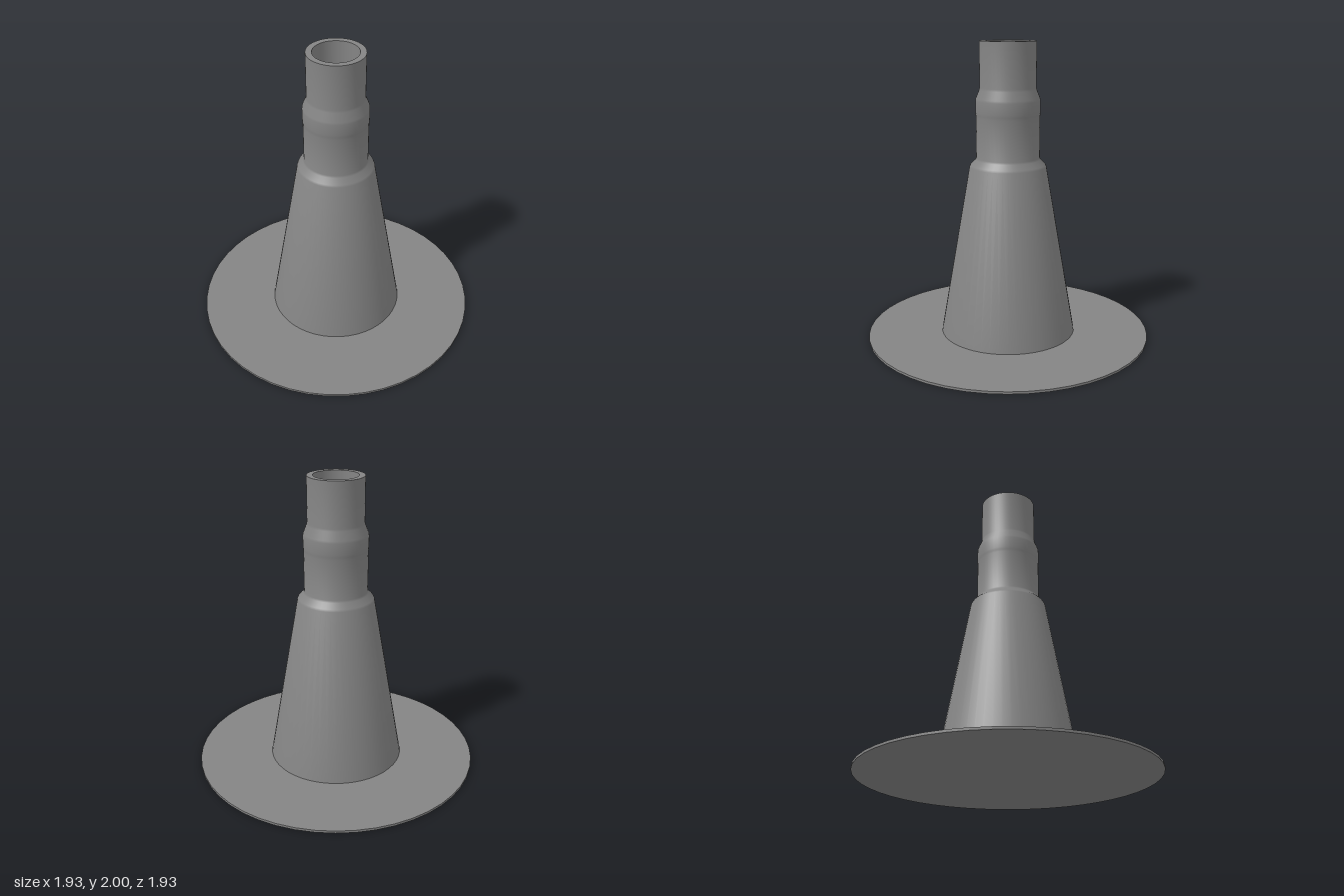
import * as THREE from 'three';
import { toCreasedNormals } from 'three/addons/utils/BufferGeometryUtils.js';

const SEGMENTS = 48;
const PLATE = 0.016; // flange thickness
const SOFT = 0.008; // width of the softened corners

// Replaces each inner corner of a profile with a narrow bevel
function soften(points) {
  return points.flatMap((p, i) => {
    if (i === 0 || i === points.length - 1) return [p];
    return [points[i - 1], points[i + 1]].map((q) =>
      p.clone().add(q.clone().sub(p).setLength(SOFT)));
  });
}

export function createModel() {
  const group = new THREE.Group();
  const material = new THREE.MeshStandardMaterial({ color: 0x848484 });

  const add = (name, geometry) => {
    const mesh = new THREE.Mesh(geometry, material);
    mesh.name = name;
    group.add(mesh);
    return mesh;
  };
  const toPoints = (profile) => profile.map(([r, y]) => new THREE.Vector2(r, y));
  const turned = (points) => toCreasedNormals(new THREE.LatheGeometry(points, SEGMENTS), 0.5);

  // Thin round flange, which also closes the bottom of the bore
  add('baseFlange', new THREE.CylinderGeometry(0.965, 0.965, PLATE, SEGMENTS))
    .position.y = PLATE / 2;

  // Outer wall: tapered body, chamfered shoulder, collar and upper spout
  add('steppedBody', turned(soften(toPoints([
    [0.46, PLATE], [0.257, 1.18], [0.213, 1.225],
    [0.213, 1.51], [0.216, 1.53], [0.216, 1.62],
    [0.188, 1.69], [0.188, 2],
  ]))));

  // Flat rim and straight bore
  add('rimAndBore', turned(toPoints([[0.188, 2], [0.148, 2], [0.148, PLATE]])));

  return group;
}
